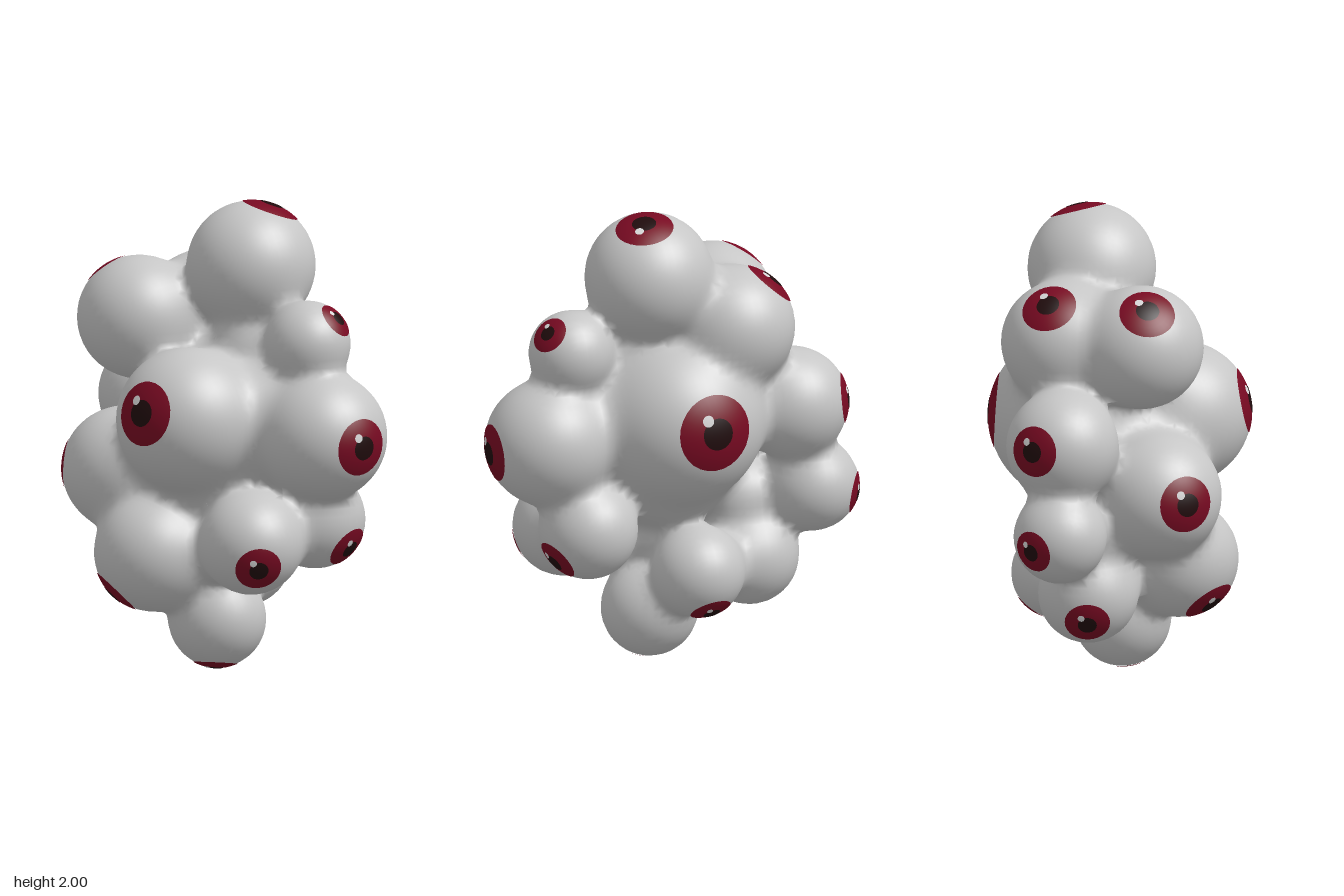
import * as THREE from 'three';

// Eyeballs: centre x, y, z, radius, gaze direction, and an optional roll of the eye
const BALLS = [
  [0.103, 1.725, -0.13, 0.273, 0.05, 0.25, -0.07, 2.4],
  [-0.302, 1.485, 0.15, 0.262, -0.148, 0.182, 0.045],
  [-0.258, 1.485, -0.2, 0.26, -0.16, 0.192, -0.035],
  [0.465, 1.43, -0.135, 0.177, 0.11, 0.098, -0.048],
  [0.565, 1.04, -0.13, 0.27, 1, -0.08, 0.03],
  [0.12, 1.1, 0.245, 0.305, 0.035, 0.06, 0.3],
  [-0.31, 0.84, 0.225, 0.265, -0.8, 0.06, 0.59],
  [-0.07, 0.51, 0.275, 0.25, -0.09, -0.178, 0.15],
  [0.39, 0.585, 0.125, 0.217, 0.15, -0.08, 0.095],
  [0.417, 0.66, -0.218, 0.21, 0.17, -0.115, -0.04],
  [-0.01, 1.1, -0.185, 0.367, -0.036, 0.022, -0.37],
  [-0.545, 1.1, -0.155, 0.238, -0.21, 0.022, -0.093],
  [-0.64, 0.725, -0.15, 0.197, -0.85, -0.16, -0.5],
  [-0.38, 0.42, -0.07, 0.212, -0.2, -0.1, 0.028],
  [-0.075, 0.43, -0.25, 0.196, -0.07, -0.8, -0.6],
  [0.043, 0.212, 0.01, 0.207, 0.02, -0.2, 0.03],
];
// Hidden filling that joins the balls
const CORE = [
  [0, 0.93, 0, 0.34],
  [0, 0.56, 0.09, 0.17],
  [0.16, 1.39, -0.08, 0.14],
  [0.27, 1.08, -0.06, 0.26],
  [-0.35, 0.68, -0.03, 0.15],
  [0.2, 0.52, 0.1, 0.11],
];
const BLEND = 0.032;

// Distance to all balls, melted together where they meet
function field(x, y, z) {
  let sum = 0;
  for (const list of [BALLS, CORE]) {
    for (const [cx, cy, cz, r] of list) {
      sum += Math.exp((r - Math.hypot(x - cx, y - cy, z - cz)) / BLEND);
    }
  }
  return -BLEND * Math.log(sum);
}

function gradient(p) {
  const e = 0.002;
  return new THREE.Vector3(
    field(p.x + e, p.y, p.z) - field(p.x - e, p.y, p.z),
    field(p.x, p.y + e, p.z) - field(p.x, p.y - e, p.z),
    field(p.x, p.y, p.z + e) - field(p.x, p.y, p.z - e),
  ).divideScalar(2 * e);
}

// Skin of the field: one point per crossed grid cell, one quad per crossed edge
function blobGeometry() {
  const step = 0.034;
  const origin = [-0.92, -0.07, -0.66];
  const n = [55, 64, 40];
  const stride = [1, n[0], n[0] * n[1]];
  const id = (i, j, k) => i + j * stride[1] + k * stride[2];
  const values = new Float32Array(n[0] * n[1] * n[2]);
  for (let k = 0; k < n[2]; k++) for (let j = 0; j < n[1]; j++) for (let i = 0; i < n[0]; i++) {
    values[id(i, j, k)] = field(origin[0] + i * step, origin[1] + j * step, origin[2] + k * step);
  }

  const positions = [], normals = [], index = [], cell = new Map();
  for (let k = 0; k < n[2] - 1; k++) for (let j = 0; j < n[1] - 1; j++) for (let i = 0; i < n[0] - 1; i++) {
    const p = new THREE.Vector3();
    let hits = 0;
    for (let c = 0; c < 8; c++) for (let b = 0; b < 3; b++) {
      if (c & (1 << b)) continue;
      const at = [c & 1, (c >> 1) & 1, c >> 2];
      const here = id(i + at[0], j + at[1], k + at[2]);
      const f0 = values[here], f1 = values[here + stride[b]];
      if ((f0 < 0) === (f1 < 0)) continue;
      at[b] += f0 / (f0 - f1);
      p.add(new THREE.Vector3(...at));
      hits++;
    }
    if (!hits) continue;
    p.divideScalar(hits).add(new THREE.Vector3(i, j, k)).multiplyScalar(step);
    p.add(new THREE.Vector3(...origin));
    for (let s = 0; s < 2; s++) {
      const g = gradient(p);
      p.addScaledVector(g, -field(p.x, p.y, p.z) / Math.max(g.lengthSq(), 0.3));
    }
    cell.set(id(i, j, k), positions.length / 3);
    positions.push(p.x, p.y, p.z);
    normals.push(...gradient(p).normalize().toArray());
  }

  for (let k = 1; k < n[2] - 1; k++) for (let j = 1; j < n[1] - 1; j++) for (let i = 1; i < n[0] - 1; i++) {
    const here = id(i, j, k);
    for (let a = 0; a < 3; a++) {
      const inside = values[here] < 0;
      if (inside === (values[here + stride[a]] < 0)) continue;
      const u = stride[(a + 1) % 3], v = stride[(a + 2) % 3];
      const quad = [here - u - v, here - v, here, here - u].map((c) => cell.get(c));
      if (!inside) quad.reverse();
      index.push(quad[0], quad[1], quad[2], quad[0], quad[2], quad[3]);
    }
  }
  const geometry = new THREE.BufferGeometry();
  geometry.setAttribute('position', new THREE.Float32BufferAttribute(positions, 3));
  geometry.setAttribute('normal', new THREE.Float32BufferAttribute(normals, 3));
  geometry.setIndex(index);
  return geometry;
}

// Round patch of a sphere facing +z
function cap(name, radius, angle, material) {
  const geometry = new THREE.SphereGeometry(radius, 28, 6, 0, Math.PI * 2, 0, angle);
  geometry.rotateX(Math.PI / 2);
  const mesh = new THREE.Mesh(geometry, material);
  mesh.name = name;
  return mesh;
}

export function createModel() {
  const paint = (name, color) => {
    const material = new THREE.MeshStandardMaterial({ color });
    material.name = name;
    return material;
  };
  const white = paint('eyeball grey', 0xc6c6c6);
  const red = paint('iris red', 0x780a22);
  const dark = paint('pupil dark', 0x200c0d);
  const shine = paint('glint pale', 0xd8d8d8);

  const model = new THREE.Group();
  model.name = 'eyeballCluster';

  const body = new THREE.Mesh(blobGeometry(), white);
  body.name = 'eyeballs';
  model.add(body);

  // Iris, pupil and glint on every ball
  for (const [x, y, z, r, dx, dy, dz, roll = 0] of BALLS) {
    const eye = new THREE.Group();
    eye.name = 'eye';
    eye.position.set(x, y, z);
    eye.lookAt(x + dx, y + dy, z + dz);
    eye.rotateZ(roll);
    const glint = cap('glint', r + 0.006, 0.068, shine);
    glint.rotation.set(-0.17, -0.12, 0);
    eye.add(
      cap('iris', r + 0.003, 0.465, red),
      cap('pupil', r + 0.0045, 0.188, dark),
      glint,
    );
    model.add(eye);
  }
  return model;
}
